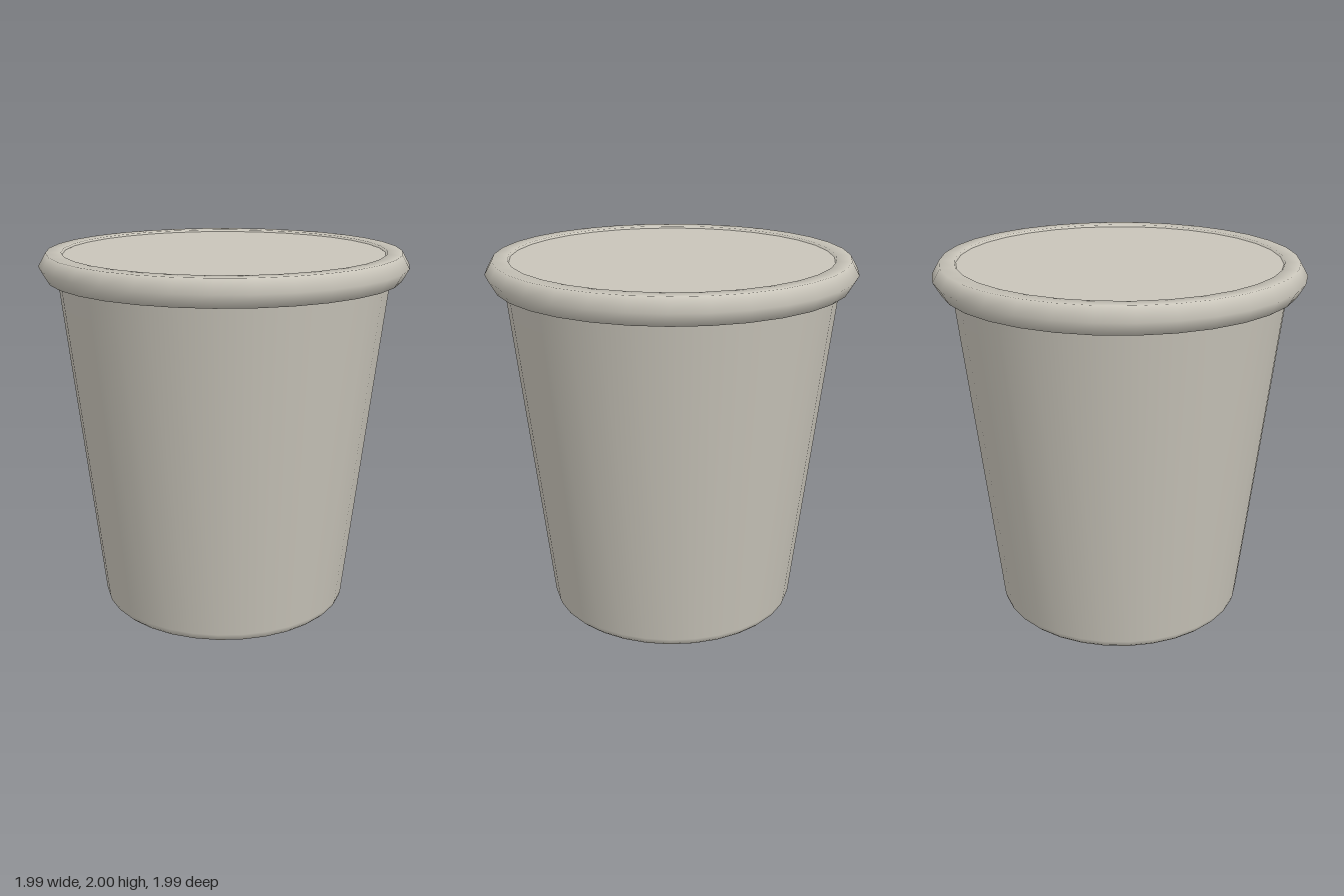
import * as THREE from 'three';

export function createModel() {
  const group = new THREE.Group();
  const clay = new THREE.MeshStandardMaterial({ color: 0xc8c4b9 });
  clay.name = 'warm grey';

  // Tapered solid body with softly rounded bottom and top edges
  const profile = [
    [0, 0], [0.64, 0], [0.665, 0.008], [0.682, 0.025], [0.69, 0.05],
    [0.905, 1.94], [0.9, 1.965], [0.888, 1.982], [0.862, 1.99], [0, 1.99],
  ].map(([r, y]) => new THREE.Vector2(r, y));
  const body = new THREE.Mesh(new THREE.LatheGeometry(profile, 32), clay);
  body.name = 'cupBody';
  group.add(body);

  // Rolled rim with a six-sided section
  const rimGeometry = new THREE.TorusGeometry(0.913, 0.081, 6, 32);
  rimGeometry.rotateX(-Math.PI / 2);
  const rim = new THREE.Mesh(rimGeometry, clay);
  rim.name = 'rim';
  rim.position.y = 1.93;
  group.add(rim);

  return group;
}
